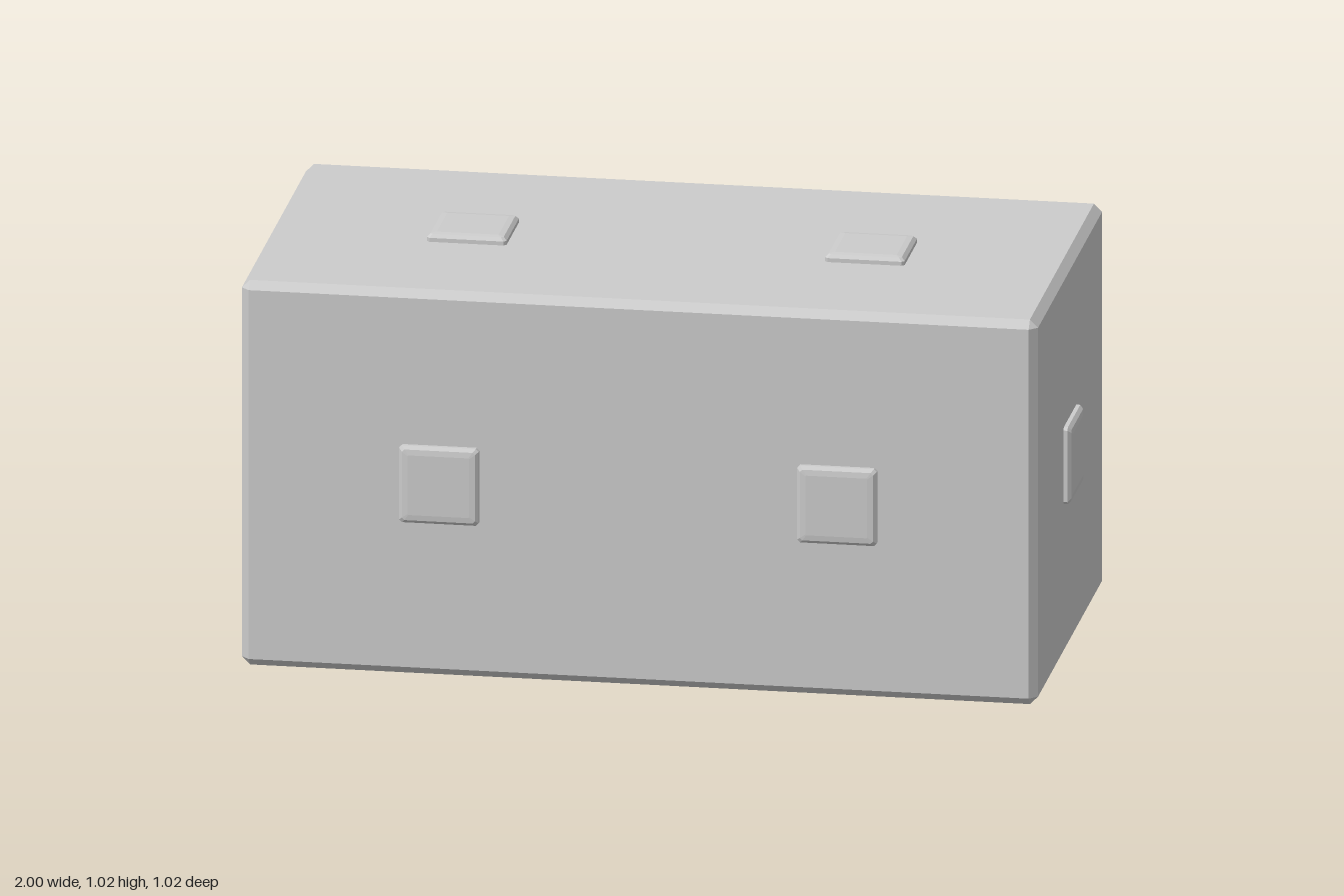
import * as THREE from 'three';
import { ConvexGeometry } from 'three/addons/geometries/ConvexGeometry.js';

const H = 0.49;        // half height and half depth of the block
const RAISE = 0.02;    // how far each pad stands out
const material = new THREE.MeshStandardMaterial({ color: 0xcccccc, flatShading: true });

// Box with every edge and corner cut at 45 degrees
function chamferedBox(hx, hy, hz, c) {
  const points = [];
  for (const sx of [-1, 1]) for (const sy of [-1, 1]) for (const sz of [-1, 1]) {
    points.push(
      new THREE.Vector3(sx * hx, sy * (hy - c), sz * (hz - c)),
      new THREE.Vector3(sx * (hx - c), sy * hy, sz * (hz - c)),
      new THREE.Vector3(sx * (hx - c), sy * (hy - c), sz * hz));
  }
  return new ConvexGeometry(points);
}

// Low square pad rising along +y, with a softened rim
function padGeometry() {
  const rings = [[0.098, -0.01, 0.007], [0.098, 0.01, 0.007], [0.09, 0.018, 0.006], [0.076, RAISE, 0.002]];
  const points = [];
  for (const [r, y, cut] of rings)
    for (const sx of [-1, 1]) for (const sz of [-1, 1])
      points.push(
        new THREE.Vector3(sx * r, y, sz * (r - cut)),
        new THREE.Vector3(sx * (r - cut), y, sz * r));
  return new ConvexGeometry(points);
}

export function createModel() {
  const model = new THREE.Group();
  model.name = 'studdedBlock';

  const body = new THREE.Mesh(chamferedBox(2 * H, H, H, 0.02), material);
  body.name = 'body';
  body.position.y = H + RAISE;
  model.add(body);

  const geometry = padGeometry();
  const up = new THREE.Vector3(0, 1, 0);
  const addPad = (name, position, normal) => {
    const pad = new THREE.Mesh(geometry, material);
    pad.name = name;
    pad.position.copy(position);
    pad.quaternion.setFromUnitVectors(up, normal);
    body.add(pad);
  };

  // Two pads on each long face
  const longFaces = { top: [0, 1, 0], bottom: [0, -1, 0], front: [0, 0, 1], back: [0, 0, -1] };
  for (const [face, n] of Object.entries(longFaces)) {
    const normal = new THREE.Vector3(...n);
    for (const s of [-1, 1]) {
      const position = normal.clone().multiplyScalar(H);
      position.x = s * H;
      addPad(face + (s > 0 ? 'LeftPad' : 'RightPad'), position, normal);
    }
  }

  // One pad on each end
  for (const s of [-1, 1]) {
    addPad(s > 0 ? 'leftEndPad' : 'rightEndPad',
      new THREE.Vector3(s * 2 * H, 0, 0), new THREE.Vector3(s, 0, 0));
  }
  return model;
}
